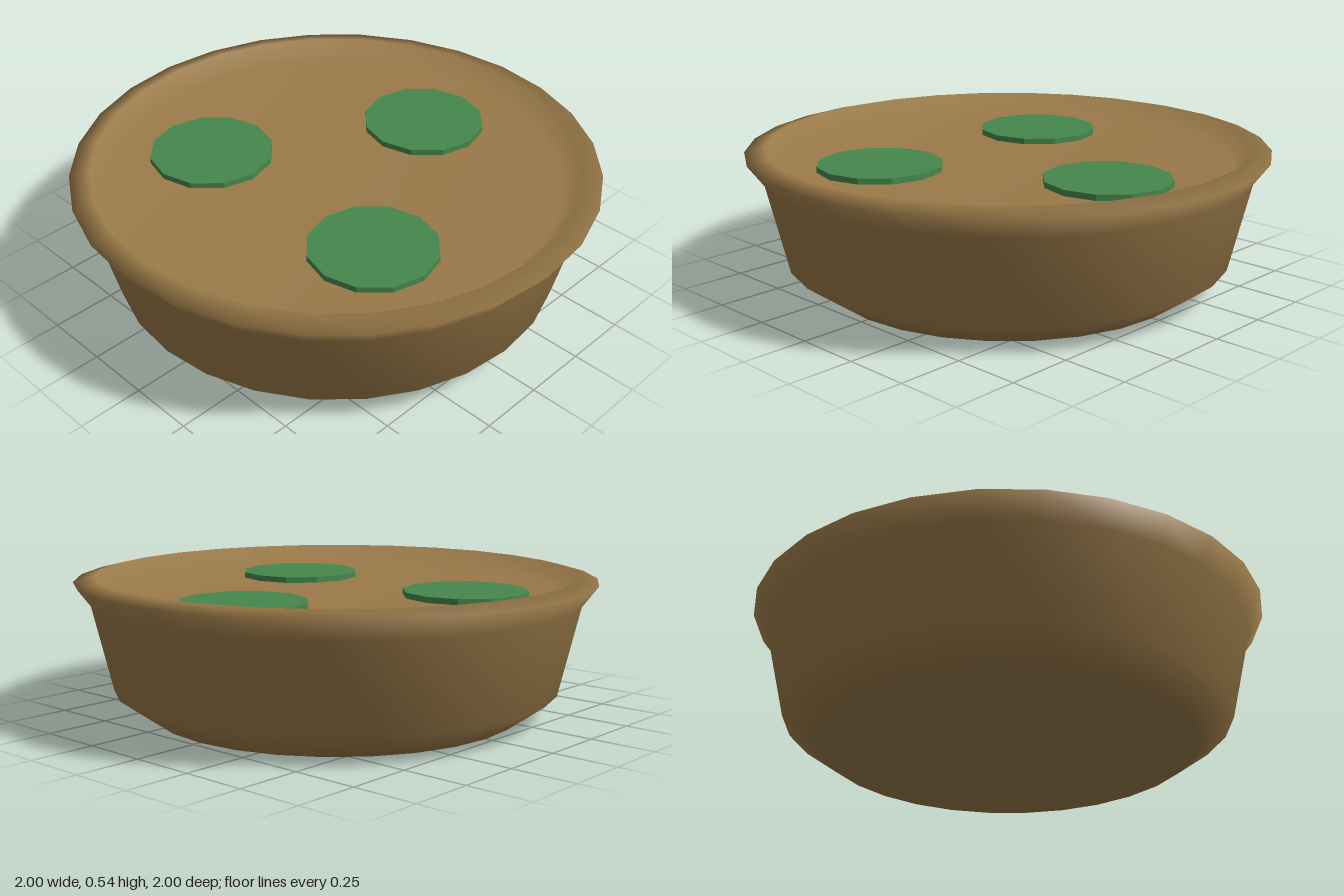
import * as THREE from 'three';

export function createModel() {
  const model = new THREE.Group();
  const brown = new THREE.MeshStandardMaterial({ color: 0x9a7a49 });
  brown.name = 'brown clay';
  const green = new THREE.MeshStandardMaterial({ color: 0x46884c });
  green.name = 'leaf green';

  // Shallow bowl: base, chamfer, wall, flared rim, then the filled inside
  const profile = [
    [0, 0], [0.72, 0], [0.86, 0.1], [0.94, 0.44],
    [1, 0.52], [0.92, 0.54], [0.86, 0.46], [0, 0.46],
  ].map(([r, y]) => new THREE.Vector2(r, y));
  const bowl = new THREE.Mesh(new THREE.LatheGeometry(profile, 28), brown);
  bowl.name = 'bowl';
  model.add(bowl);

  // Three flat twelve-sided discs spaced evenly round the middle
  const discGeometry = new THREE.CylinderGeometry(0.24, 0.24, 0.025, 12).toNonIndexed();
  discGeometry.computeVertexNormals();
  for (let i = 0; i < 3; i++) {
    const angle = (i * Math.PI * 2) / 3;
    const disc = new THREE.Mesh(discGeometry, green);
    disc.name = `disc${i + 1}`;
    disc.position.set(0.5 * Math.cos(angle), 0.47, 0.5 * Math.sin(angle));
    model.add(disc);
  }
  return model;
}
